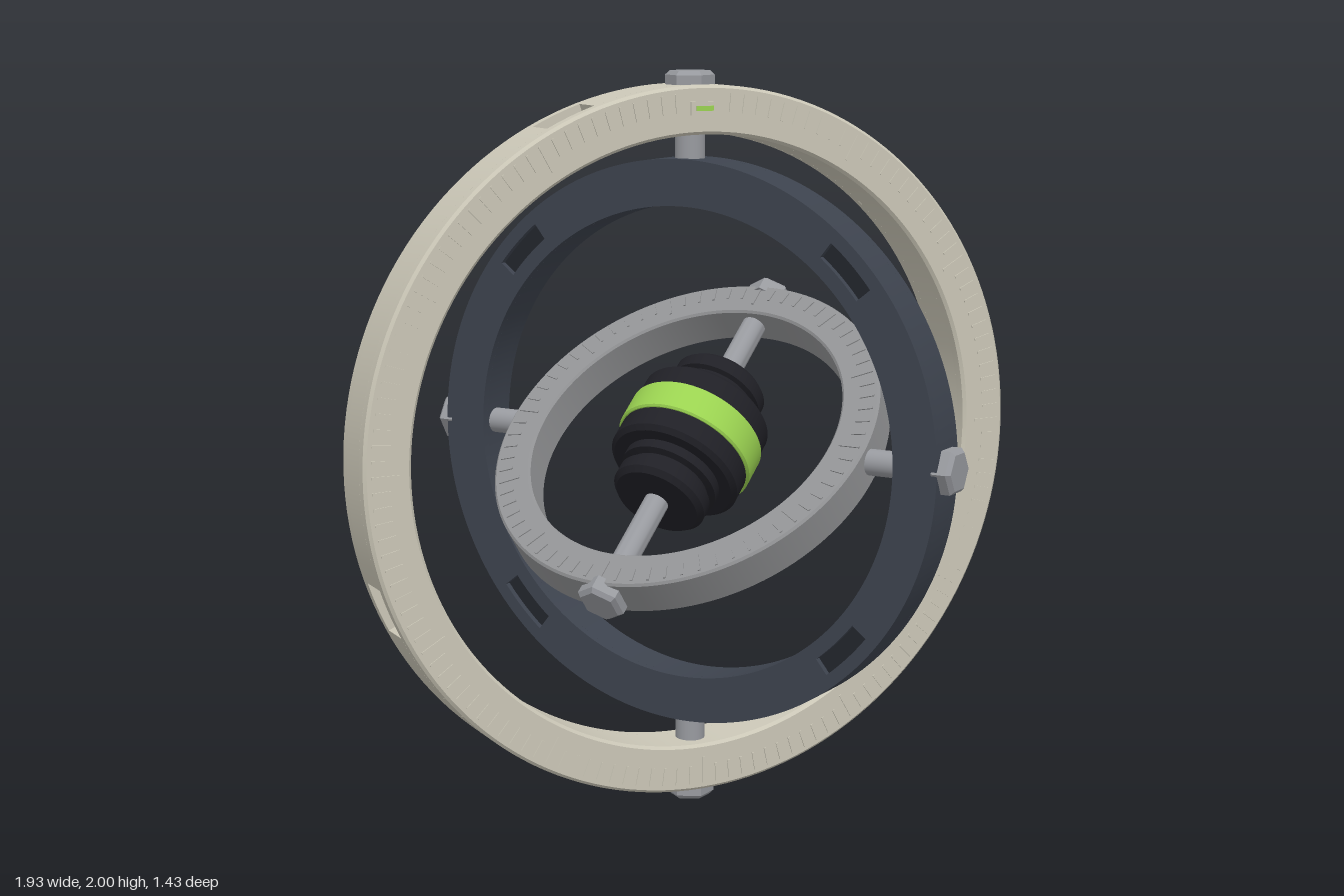
import * as THREE from 'three';
import { mergeGeometries, toCreasedNormals } from 'three/addons/utils/BufferGeometryUtils.js';

const mat = (name, color) => {
  const m = new THREE.MeshStandardMaterial({ color });
  m.name = name;
  return m;
};
const TAU = Math.PI * 2;

export function createModel() {
  const cream = mat('cream', 0xcbc7b7);
  const slate = mat('slate', 0x3d434e);
  const grey = mat('grey', 0x929395);
  const steel = mat('steel', 0x989a9f);
  const black = mat('black', 0x202026);
  const shade = mat('slot dark', 0x22252c);
  const green = mat('green', 0x9bd351);

  const add = (parent, name, geo, material) => {
    const mesh = new THREE.Mesh(geo, material);
    mesh.name = name;
    parent.add(mesh);
    return mesh;
  };
  const group = (parent, name) => {
    const g = new THREE.Group();
    g.name = name;
    parent.add(g);
    return g;
  };
  const crease = (geo) => toCreasedNormals(geo, 0.4);

  // Surface of revolution about z, from [radius, z] points
  const turned = (pts, seg = 160) =>
    crease(new THREE.LatheGeometry(pts.map(p => new THREE.Vector2(...p)), seg).rotateX(Math.PI / 2));

  // Rectangular ring section with small chamfers, between z0 and z1
  const ring = (ri, ro, z0, z1, c0, c1) => turned([
    [ri + c0, z0], [ro - c0, z0], [ro, z0 + c0], [ro, z1 - c1],
    [ro - c1, z1], [ri + c1, z1], [ri, z1 - c1], [ri, z0 + c0], [ri + c0, z0],
  ]);

  const extruded = (shape, z0, z1) => crease(new THREE.ExtrudeGeometry(shape, {
    depth: z1 - z0, bevelEnabled: false, curveSegments: 32,
  }).translate(0, 0, z0));

  // Circle drawn as four arcs for smoothness
  const circle = (path, r) => {
    for (let k = 0; k < 4; k++) path.absarc(0, 0, r, k * TAU / 4, (k + 1) * TAU / 4, false);
    return path;
  };

  // Curved slot outline centred on an angle
  const slot = (path, a, h, r0, r1) => {
    path.absarc(0, 0, r1, a - h, a + h, false);
    path.absarc(0, 0, r0, a + h, a - h, true);
    path.closePath();
    return path;
  };

  // Raised scale marks on a ring face
  const ticks = (count, r0, r1, z, every, extra, skip = () => false) => {
    const list = [];
    for (let i = 0; i < count; i++) {
      const a = i / count * TAU;
      if (skip(a)) continue;
      const inner = i % every ? r0 : r0 - extra;
      list.push(new THREE.BoxGeometry(r1 - inner, 0.007, 0.008)
        .translate((r0 === inner ? r0 + r1 : inner + r1) / 2, 0, z).rotateZ(a));
    }
    return mergeGeometries(list);
  };

  // Pair of pivot pins and hexagonal caps along the y axis of a group
  const pivots = (parent, pinIn, pinOut, pinR, capR) => {
    for (const side of [0, 1]) {
      const g = group(parent, 'pivot');
      g.rotation.x = side * Math.PI;
      if (pinOut > pinIn) {
        add(g, 'pivotPin', new THREE.CylinderGeometry(pinR, pinR, pinOut - pinIn, 32)
          .translate(0, (pinIn + pinOut) / 2, 0), steel);
      }
      const cap = mergeGeometries([
        new THREE.CylinderGeometry(0.066, 0.066, 0.04, 6).translate(0, capR + 0.004, 0),
        new THREE.CylinderGeometry(0.054, 0.066, 0.011, 6).translate(0, capR + 0.0295, 0),
      ]);
      add(g, 'hexCap', crease(cap), steel);
    }
  };

  const model = new THREE.Group();
  model.name = 'gyroscope';
  const centre = group(model, 'gimbals');
  centre.position.y = 1;

  // Outer ring: two chamfered lips around a core with four rim pockets
  const outer = group(centre, 'outerRing');
  const core = new THREE.Shape();
  const half = 0.075;
  for (let k = 0; k < 4; k++) {
    const a = TAU / 16 + k * TAU / 4;
    core.absarc(0, 0, 0.935, a - half, a + half, false);
    core.absarc(0, 0, 0.965, a + half, a + TAU / 4 - half, false);
  }
  core.holes.push(circle(new THREE.Path(), 0.835));
  add(outer, 'outerRingCore', extruded(core, -0.045, 0.045), cream);
  add(outer, 'outerRingFrontLip', ring(0.835, 0.965, 0.045, 0.08, 0, 0.008), cream);
  add(outer, 'outerRingBackLip', ring(0.835, 0.965, -0.08, -0.045, 0.008, 0), cream);
  add(outer, 'outerRingTicks',
    ticks(144, 0.895, 0.945, 0.079, 12, 0.025, a => Math.abs(a - TAU / 4) < 0.05), cream);
  pivots(outer, 0.75, 0.84, 0.04, 0.965);

  // Indicator window at the top of the outer ring
  add(outer, 'indicatorFrame', new THREE.BoxGeometry(0.08, 0.036, 0.009).translate(0, 0.904, 0.082), cream);
  add(outer, 'indicatorLight', new THREE.BoxGeometry(0.05, 0.013, 0.006).translate(0, 0.904, 0.086), green);

  // Middle ring: solid core with slotted face plates
  const middle = group(centre, 'middleRing');
  middle.rotation.y = THREE.MathUtils.degToRad(-58.3);
  const face = circle(new THREE.Shape(), 0.77);
  face.holes.push(circle(new THREE.Path(), 0.645));
  const slotAngles = [1, 3, 5, 7].map(k => k * TAU / 8);
  for (const a of slotAngles) face.holes.push(slot(new THREE.Path(), a, 0.11, 0.685, 0.735));
  add(middle, 'middleRingCore', ring(0.645, 0.77, -0.042, 0.042, 0, 0), slate);
  for (const turn of [0, Math.PI]) {
    const side = group(middle, 'middleRingSide');
    side.rotation.y = turn;
    add(side, 'middleRingFace', extruded(face, 0.042, 0.063), slate);
    for (const a of slotAngles) {
      add(side, 'slotFloor', extruded(slot(new THREE.Shape(), a, 0.11, 0.685, 0.735), 0.041, 0.046), shade);
    }
    if (turn) {
      add(side, 'middleRingTicks', ticks(96, 0.715, 0.755, 0.062, 8, 0.025,
        a => slotAngles.some(s => Math.abs(a - s) < 0.125)), slate);
    }
  }
  const middlePivots = group(middle, 'middlePivots');
  middlePivots.rotation.z = -Math.PI / 2;
  pivots(middlePivots, 0.53, 0.65, 0.035, 0.77);

  // Inner ring, tilted about the middle ring's pivots
  const inner = group(middle, 'innerRing');
  inner.rotation.x = THREE.MathUtils.degToRad(-51.8);
  add(inner, 'innerRingBody', ring(0.445, 0.55, -0.055, 0.055, 0.006, 0.006), grey);
  add(inner, 'innerRingTicks', ticks(72, 0.495, 0.535, 0.054, 6, 0.02), grey);
  pivots(inner, 0, 0, 0, 0.547);

  // Rotor on its axle
  const rotor = group(inner, 'rotor');
  rotor.rotation.x = -Math.PI / 2;
  add(rotor, 'axle', turned([[0.034, -0.46], [0.034, 0.46]], 32), steel);
  const halfProfile = [
    [0.185, 0.05], [0.185, 0.105], [0.172, 0.118], [0.138, 0.118], [0.138, 0.145], [0.118, 0.15],
    [0.118, 0.163], [0.132, 0.168], [0.132, 0.205], [0.118, 0.22], [0, 0.22],
  ];
  const mirrored = halfProfile.map(([r, z]) => [r, -z]).reverse();
  add(rotor, 'rotorBody', turned([...mirrored, ...halfProfile], 64), black);
  add(rotor, 'rotorBand', turned([
    [0.18, -0.046], [0.188, -0.046], [0.193, -0.041], [0.193, 0.041], [0.188, 0.046], [0.18, 0.046],
  ], 64), green);

  return model;
}
